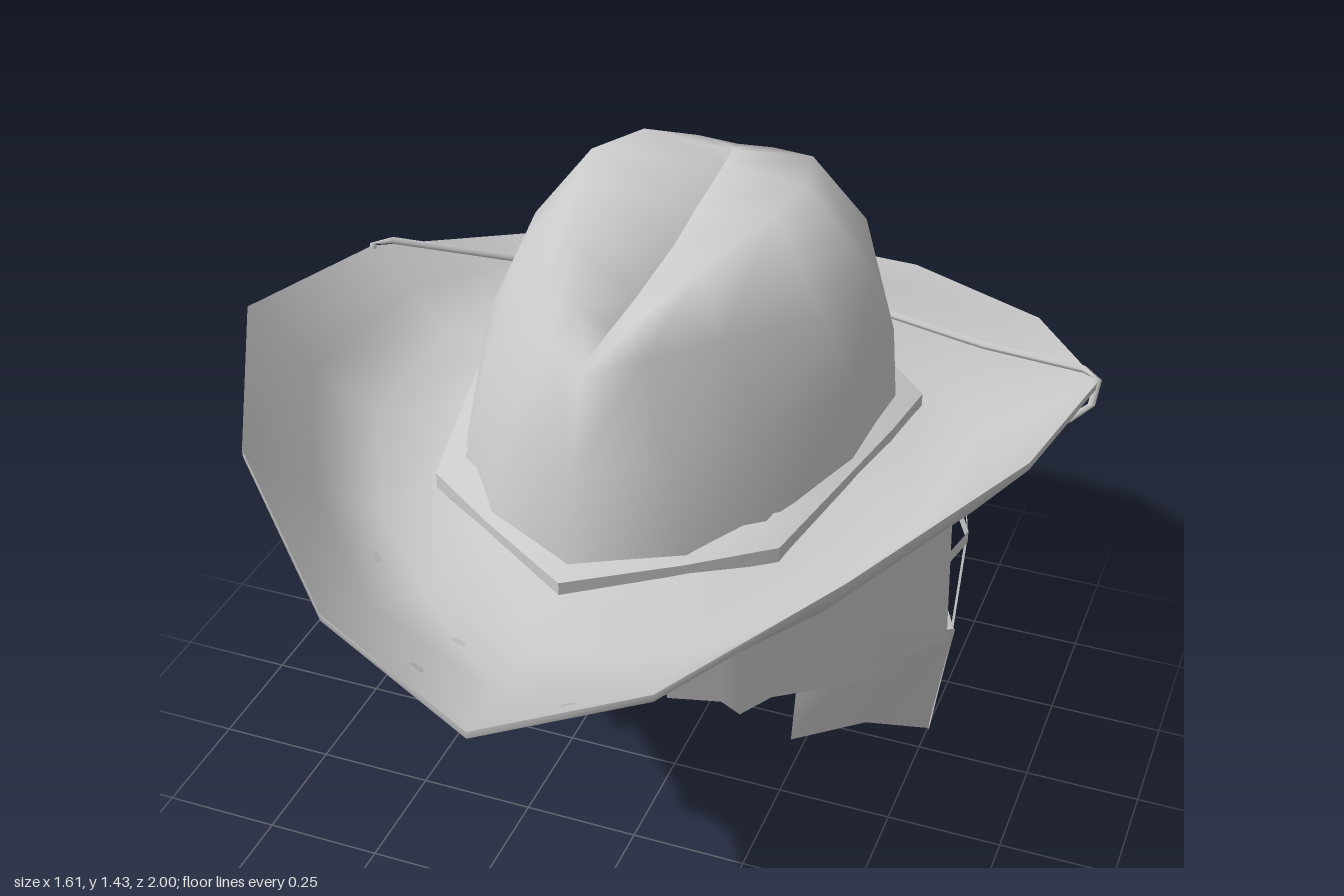
import * as THREE from 'three';
import { toCreasedNormals } from 'three/addons/utils/BufferGeometryUtils.js';

const material = new THREE.MeshStandardMaterial({ color: 0xcccccc, side: THREE.DoubleSide });

// Grid surface through rows of [x, y, z] points; closed rings are split symmetrically
function surface(rows, closed, crease) {
  const n = rows[0].length, index = [];
  for (let r = 0; r < rows.length - 1; r++) {
    for (let i = 0; i < (closed ? n : n - 1); i++) {
      const j = (i + 1) % n, a = r * n + i, b = r * n + j;
      if (closed && i >= n / 2) index.push(a, b, a + n, b, b + n, a + n);
      else index.push(a, b, b + n, a, b + n, a + n);
    }
  }
  const g = new THREE.BufferGeometry();
  g.setAttribute('position', new THREE.Float32BufferAttribute(rows.flat(2), 3));
  g.setIndex(index);
  g.computeVertexNormals();
  return crease ? toCreasedNormals(g, crease) : g;
}

// Completes a half ring (front to back along +x) with its mirror image
const ring = (half) => [...half, ...half.slice(1, -1).reverse().map(([x, y, z]) => [-x, y, z])];
const lift = (half, dy) => half.map(([x, y, z]) => [x, y + dy, z]);
// Ring halfway between two half rings, moved by dy
const between = (a, b, dy) => a.map((p, i) => p.map((v, k) => (v + b[i][k]) / 2 + (k === 1 ? dy : 0)));

// Hat: half rings from front to back
const base = [[0, .91, .56], [.2, .92, .46], [.33, .93, .3], [.4, .94, .08],
  [.42, .945, -.15], [.33, .95, -.38], [.15, .94, -.5], [0, .94, -.53]];
const valley = [[0, .86, .73], [.25, .87, .65], [.43, .89, .47], [.57, .92, .2],
  [.59, .92, -.17], [.45, .92, -.57], [.19, .89, -.73], [0, .89, -.76]];
const rim = [[0, .89, 1], [.31, 1, .92], [.57, 1.145, .7], [.78, 1.185, .3],
  [.8, 1.04, -.25], [.58, .87, -.75], [.24, .825, -.97], [0, .815, -1]];
const slope = between(valley, rim, -.012);
const wall = [[0, 1.12, .53], [.17, 1.12, .44], [.29, 1.12, .28], [.38, 1.12, .05],
  [.4, 1.12, -.17], [.3, 1.12, -.38], [.14, 1.12, -.48], [0, 1.12, -.505]];
const shoulder = [[0, 1.29, .47], [.09, 1.3, .39], [.19, 1.28, .25], [.32, 1.25, .05],
  [.36, 1.25, -.15], [.28, 1.25, -.36], [.13, 1.24, -.45], [0, 1.22, -.475]];
const ridge = [[0, 1.31, .44], [.06, 1.35, .34], [.13, 1.395, .2], [.2, 1.42, 0],
  [.22, 1.43, -.12], [.18, 1.4, -.3], [.08, 1.38, -.35], [0, 1.37, -.36]];
const crease = [[0, 1.31, .42], [0, 1.31, .32], [0, 1.31, .2], [0, 1.32, 0],
  [0, 1.34, -.12], [0, 1.36, -.28], [0, 1.37, -.33], [0, 1.37, -.34]];
const band = [[0, .9, .6], [.2, .91, .48], [.35, .92, .38], [.44, .94, -.05],
  [.46, .94, -.2], [.14, .93, -.55], [0, .93, -.585]];

// Hair plan: half outline from the middle of the forehead to the nape
const plan = [[0, .7], [.2, .58], [.34, .45], [.5, .14], [.57, -.25], [.42, -.56], [0, -.67]];
// Width of the hair at a height: widest at ear level
function bulge(y) {
  const steps = [[0, .9], [.28, .97], [.61, 1], [.95, .94]];
  for (let i = 0; i < 3; i++) {
    const [y0, k0] = steps[i], [y1, k1] = steps[i + 1];
    if (y <= y1) return k0 + (k1 - k0) * (y - y0) / (y1 - y0);
  }
  return .94;
}
function onHair(u, y, side, inset = 1) {
  const i = Math.min(Math.floor(u), 5), t = u - i, k = bulge(y) * inset;
  const [x0, z0] = plan[i], [x1, z1] = plan[i + 1];
  return [side * k * (x0 + (x1 - x0) * t), y, k * (z0 + (z1 - z0) * t)];
}

export function createModel() {
  const model = new THREE.Group();
  const add = (parent, name, geometry) => {
    const mesh = new THREE.Mesh(geometry, material);
    mesh.name = name;
    parent.add(mesh);
  };

  // Brim with a thin edge
  const hat = new THREE.Group();
  hat.name = 'hat';
  model.add(hat);
  add(hat, 'brim', surface([lift(base, -.02), lift(valley, -.02), lift(slope, -.02), lift(rim, -.015),
    rim, slope, valley, base].map(ring), true, 1.3));
  // Pinched crown
  add(hat, 'crown', surface([base, wall, shoulder, ridge, crease].map(ring), true));
  // Band around the foot of the crown
  const inner = band.map(([x, y, z]) => [x * .88, y + .045, z * .88]);
  add(hat, 'hatBand', surface([lift(band, -.01), lift(band, .025), inner].map(ring), true, .5));

  // Cord over the brim, wrapped under its sides, with two loose ends
  const cord = (name, points, radius) => {
    const path = new THREE.CurvePath();
    const v = points.map((p) => new THREE.Vector3(...p));
    for (let i = 0; i < v.length - 1; i++) path.add(new THREE.LineCurve3(v[i], v[i + 1]));
    add(hat, name, new THREE.TubeGeometry(path, 24, radius, 5));
  };
  for (const s of [1, -1]) {
    cord('brimCord', [[s * .55, .88, -.08], [s * .795, .99, -.22], [s * .8, 1.055, -.26],
      [s * .53, .985, -.4], [0, .95, -.59]], .008);
    cord('cordEnd', [[0, .95, -.6], [s * .065, .895, -.77]], .006);
  }

  // Hair: rows of [position along plan, top, bottom]
  const hair = new THREE.Group();
  hair.name = 'hair';
  model.add(hair);
  const lock = (name, side, cols, inset) => add(hair, name, surface([
    cols.map(([u, , bottom]) => onHair(u, bottom, side, inset)),
    cols.map(([u, top]) => onHair(u, top, side, inset)),
  ], false));

  for (const s of [1, -1]) {
    // Fringe and temple locks
    lock('fringe', s, [[0, .87, .78], [.35, .87, .76], [1, .88, .72], [1.02, .88, .69], [1.6, .89, .65],
      [1.8, .89, .61], [2.1, .89, .62], [2.95, .91, .5], [3.03, .91, .5]]);
    // Slanted lock in front of the ear
    lock('sideLock', s, [[2.95, .63, .5], [3.5, .49, .46], [3.92, .37, .35]]);
    // Smooth inner layer seen between the strips
    lock('innerHair', s, [[2.9, .92, .52], [3.5, .92, .42], [4, .92, .33], [4.5, .92, .33],
      [5, .92, .33], [6, .92, .33]], .98);
    // Level strip at ear height
    lock('levelStrip', s, [[3, .63, .605], [4, .62, .59], [5, .61, .575], [6, .62, .585]]);
    // Upright strips, bent at ear height
    for (const [u, w] of [[4.03, .04], [4.95, .09], [5.97, .03]]) {
      const across = [u - w, u, Math.min(u + w, 6)];
      add(hair, 'uprightStrip', surface(
        [.34, .61, .91].map((y) => across.map((a) => onHair(a, y, s))), false));
    }
    // Ragged lower hair with pointed ends
    lock('lowerHair', s, [[4, .36, .07], [4.15, .36, .14], [4.6, .36, .13], [5.15, .36, .13],
      [5.3, .36, .04], [5.45, .35, .13], [5.88, .35, .13], [6, .35, 0]]);
    // Lock turning in from the lower hair towards the neck
    add(hair, 'neckLock', surface([
      [[s * .28, .18, .03], [s * .4, .13, -.14], [s * .52, .07, -.24]],
      [[s * .28, .46, -.03], [s * .43, .41, -.1], [s * .56, .36, -.245]],
    ], false));
  }
  return model;
}
